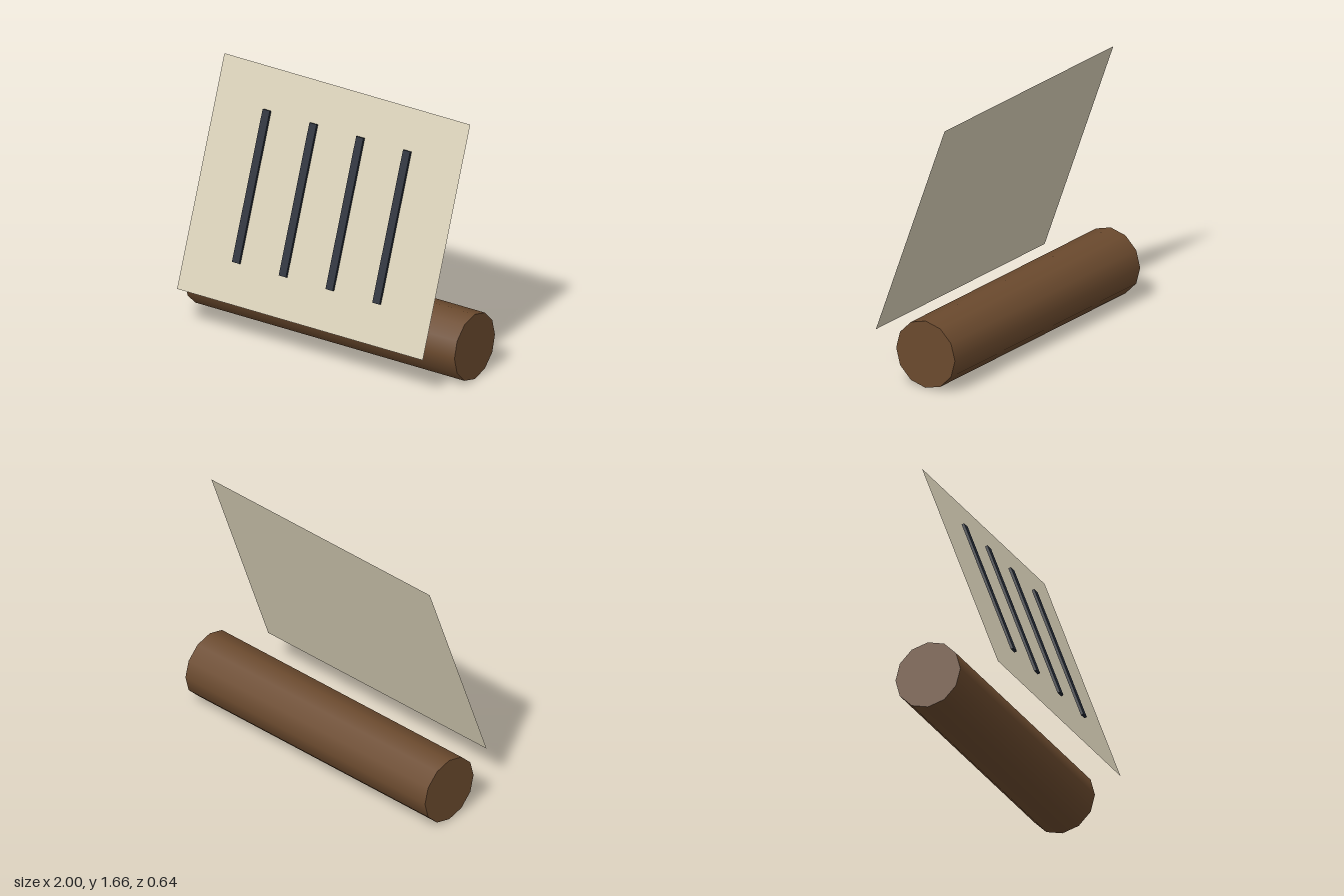
import * as THREE from 'three';

export function createModel() {
  const model = new THREE.Group();
  const add = (parent, name, geometry, color, side = THREE.FrontSide) => {
    const mesh = new THREE.Mesh(geometry, new THREE.MeshStandardMaterial({ color, side }));
    mesh.name = name;
    parent.add(mesh);
    return mesh;
  };

  // Twelve-sided roller lying along x
  const roller = add(model, 'roller', new THREE.CylinderGeometry(0.217, 0.217, 2, 12), 0x6b4a2e);
  roller.rotation.z = Math.PI / 2;
  roller.position.set(0, 0.217, -0.109);

  // Sheet leaning back, with its bars
  const leaningSheet = new THREE.Group();
  leaningSheet.name = 'leaningSheet';
  leaningSheet.position.set(0, 0.96, 0.065);
  leaningSheet.rotation.x = -0.35;
  model.add(leaningSheet);
  add(leaningSheet, 'sheet', new THREE.PlaneGeometry(1.823, 1.48), 0xd9d0b8, THREE.DoubleSide);

  // Four thin bars floating just in front of the sheet
  for (let i = 0; i < 4; i++) {
    const bar = add(leaningSheet, 'bar', new THREE.BoxGeometry(0.053, 0.96, 0.017), 0x232a36);
    bar.position.set((i - 1.5) * 0.347, 0, 0.0215);
  }
  return model;
}
